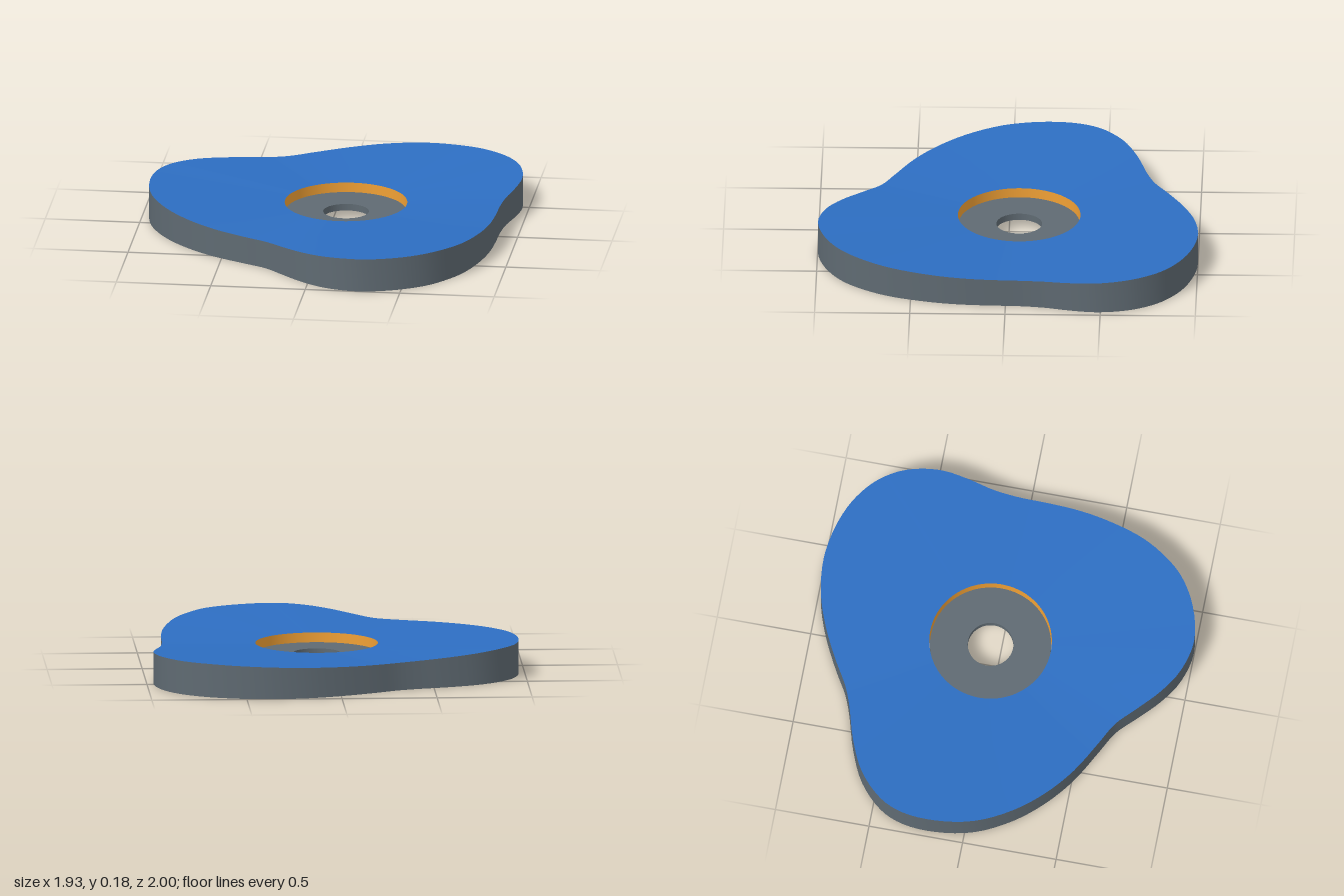
import * as THREE from 'three';
import { toCreasedNormals } from 'three/addons/utils/BufferGeometryUtils.js';

const CX = 0.085, CZ = -0.055; // hub axis
const BORE = 0.322, RIM_Y = 0.14;
const SEGMENTS = 148;

// Three-lobed outline as x, z pairs
const OUTLINE = [
  [0.9, -0.07], [0.895, 0.1], [0.885, 0.25], [0.86, 0.4], [0.8, 0.6], [0.73, 0.73],
  [0.62, 0.86], [0.46, 0.955], [0.27, 0.998], [0.1, 0.96], [-0.03, 0.88], [-0.15, 0.77],
  [-0.25, 0.675], [-0.37, 0.61], [-0.55, 0.51], [-0.7, 0.39], [-0.83, 0.24], [-0.93, 0.05],
  [-0.967, -0.15], [-0.955, -0.33], [-0.9, -0.455], [-0.77, -0.58], [-0.6, -0.66],
  [-0.4, -0.72], [-0.3, -0.76], [-0.18, -0.83], [0, -0.92], [0.18, -0.98], [0.37, -1],
  [0.54, -0.975], [0.7, -0.915], [0.83, -0.82], [0.91, -0.71], [0.95, -0.6],
  [0.965, -0.47], [0.945, -0.33], [0.915, -0.2],
];

// Closed band of quads between two loops of points
function band(a, b) {
  const positions = [], index = [], n = a.length;
  for (const p of [...a, ...b]) positions.push(p.x, p.y, p.z);
  for (let i = 0; i < n; i++) {
    const j = (i + 1) % n;
    index.push(i, j, n + i, j, n + j, n + i);
  }
  const g = new THREE.BufferGeometry();
  g.setAttribute('position', new THREE.Float32BufferAttribute(positions, 3));
  g.setIndex(index);
  g.computeVertexNormals();
  return g;
}

export function createModel() {
  const model = new THREE.Group();
  model.name = 'lobedCam';
  const gray = new THREE.MeshStandardMaterial({ color: 0x5f6a72 });
  const blue = new THREE.MeshStandardMaterial({ color: 0x2d6ec2 });
  const orange = new THREE.MeshStandardMaterial({ color: 0xf0a035 });
  const add = (name, geometry, material, parent = model) => {
    const mesh = new THREE.Mesh(geometry, material);
    mesh.name = name;
    parent.add(mesh);
    return mesh;
  };

  // Loops: outer edge (higher on the lobes) and the bore, top and bottom
  const curve = new THREE.CatmullRomCurve3(
    OUTLINE.map(([x, z]) => new THREE.Vector3(x, 0, z)), true, 'centripetal');
  const edgeBottom = curve.getPoints(SEGMENTS).slice(0, SEGMENTS);
  const edgeTop = edgeBottom.map((p) => {
    const r = Math.hypot(p.x - CX, p.z - CZ);
    return new THREE.Vector3(p.x, Math.min(0.177, 0.145 + 0.12 * (r - 0.79)), p.z);
  });
  const boreLoop = (y) => edgeBottom.map((p) => {
    const t = Math.atan2(p.z - CZ, p.x - CX);
    return new THREE.Vector3(CX + BORE * Math.cos(t), y, CZ + BORE * Math.sin(t));
  });
  const rimTop = boreLoop(RIM_Y), rimBottom = boreLoop(0);

  // Body
  const body = new THREE.Group();
  body.name = 'body';
  model.add(body);
  add('topFace', band(rimTop, edgeTop), blue, body);
  add('sideWall', band(edgeTop, edgeBottom), gray, body);
  add('bottomFace', band(edgeBottom, rimBottom), gray, body);
  add('boreWall', band(rimBottom, rimTop), orange, body);

  // Recessed washer inside the bore
  const disc = new THREE.Shape().absarc(0, 0, 0.318, 0, Math.PI * 2);
  disc.holes.push(new THREE.Path().absarc(0, 0, 0.12, 0, Math.PI * 2, true));
  const ring = new THREE.ExtrudeGeometry(disc, { depth: 0.036, bevelEnabled: false, curveSegments: 64 });
  ring.rotateX(-Math.PI / 2);
  add('hubWasher', toCreasedNormals(ring, 0.6), gray).position.set(CX, 0.053, CZ);

  return model;
}
